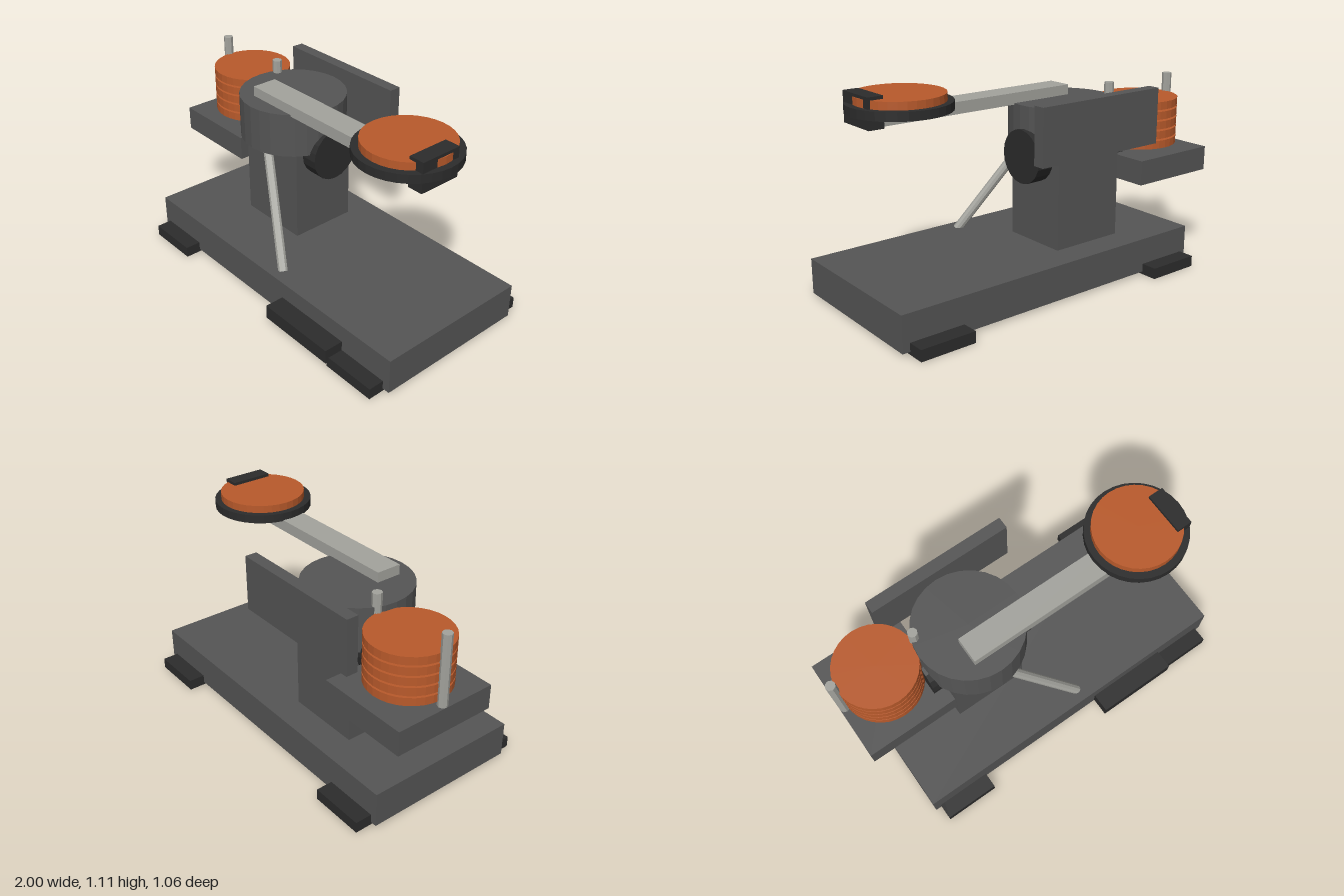
import * as THREE from 'three';

export function createModel() {
  const model = new THREE.Group();
  model.name = 'discLauncher';

  const mat = (name, color) => {
    const m = new THREE.MeshStandardMaterial({ color, flatShading: true });
    m.name = name;
    return m;
  };
  const gray = mat('paintedGray', 0x555555);
  const black = mat('blackRubber', 0x2c2c2c);
  const steel = mat('paleSteel', 0xa3a39d);
  const orange = mat('orangeClay', 0xb95a2b);

  const add = (name, geometry, material) => {
    const mesh = new THREE.Mesh(geometry, material);
    mesh.name = name;
    model.add(mesh);
    return mesh;
  };
  // Box from its minimum and maximum on each axis
  const box = (name, material, [x0, x1], [y0, y1], [z0, z1]) =>
    add(name, new THREE.BoxGeometry(x1 - x0, y1 - y0, z1 - z0), material)
      .position.set((x0 + x1) / 2, (y0 + y1) / 2, (z0 + z1) / 2);
  // Cylinder between two points
  const rod = (name, material, radius, from, to, sides) => {
    const a = new THREE.Vector3(...from), b = new THREE.Vector3(...to);
    const dir = b.clone().sub(a);
    const mesh = add(name, new THREE.CylinderGeometry(radius, radius, dir.length(), sides), material);
    mesh.position.copy(a).add(b).multiplyScalar(0.5);
    mesh.quaternion.setFromUnitVectors(new THREE.Vector3(0, 1, 0), dir.normalize());
  };

  // Base with cross skids and a front pedal
  box('base', gray, [-0.87, 1], [0.015, 0.205], [-0.44, 0.425]);
  box('rightSkid', black, [-0.835, -0.535], [0, 0.06], [-0.53, 0.51]);
  box('leftSkid', black, [0.66, 0.96], [0, 0.06], [-0.53, 0.51]);
  box('pedal', black, [0.22, 0.675], [0.035, 0.112], [0.38, 0.53]);

  // Column, motor and turret
  box('column', gray, [-0.475, -0.055], [0.2, 0.72], [-0.28, 0.095]);
  rod('motor', black, 0.144, [-0.565, 0.69, -0.093], [0.04, 0.69, -0.093], 20);
  rod('turret', gray, 0.287, [-0.265, 0.716, -0.062], [-0.265, 0.956, -0.062], 28);
  box('rearPanel', gray, [-0.62, 0.17], [0.722, 1.022], [-0.42, -0.355]);
  rod('brace', steel, 0.026, [-0.25, 0.76, 0.137], [0.138, 0.195, 0.352], 10);

  // Magazine tray with guide posts and stacked discs
  box('tray', gray, [-1, -0.495], [0.515, 0.647], [-0.44, 0.13]);
  for (const x of [-0.974, -0.518])
    rod('guidePost', steel, 0.026, [x, 0.62, -0.157], [x, 1.027, -0.157], 8);
  for (let i = 0; i < 5; i++) {
    const y = 0.668 + i * 0.0535;
    rod('stackedDisc', orange, 0.216, [-0.746, y, -0.156], [-0.746, y + 0.043, -0.156], 32);
  }

  // Throwing arm with loaded disc and end clip
  box('throwingArm', steel, [-0.355, 0.845], [0.948, 1.01], [-0.01, 0.13]);
  rod('carrierPlate', black, 0.264, [0.677, 1.005, 0.04], [0.677, 1.05, 0.04], 32);
  rod('loadedDisc', orange, 0.229, [0.677, 1.05, 0.038], [0.677, 1.09, 0.038], 32);
  box('endClip', black, [0.817, 0.9], [0.95, 1.106], [-0.052, 0.178]);

  return model;
}
